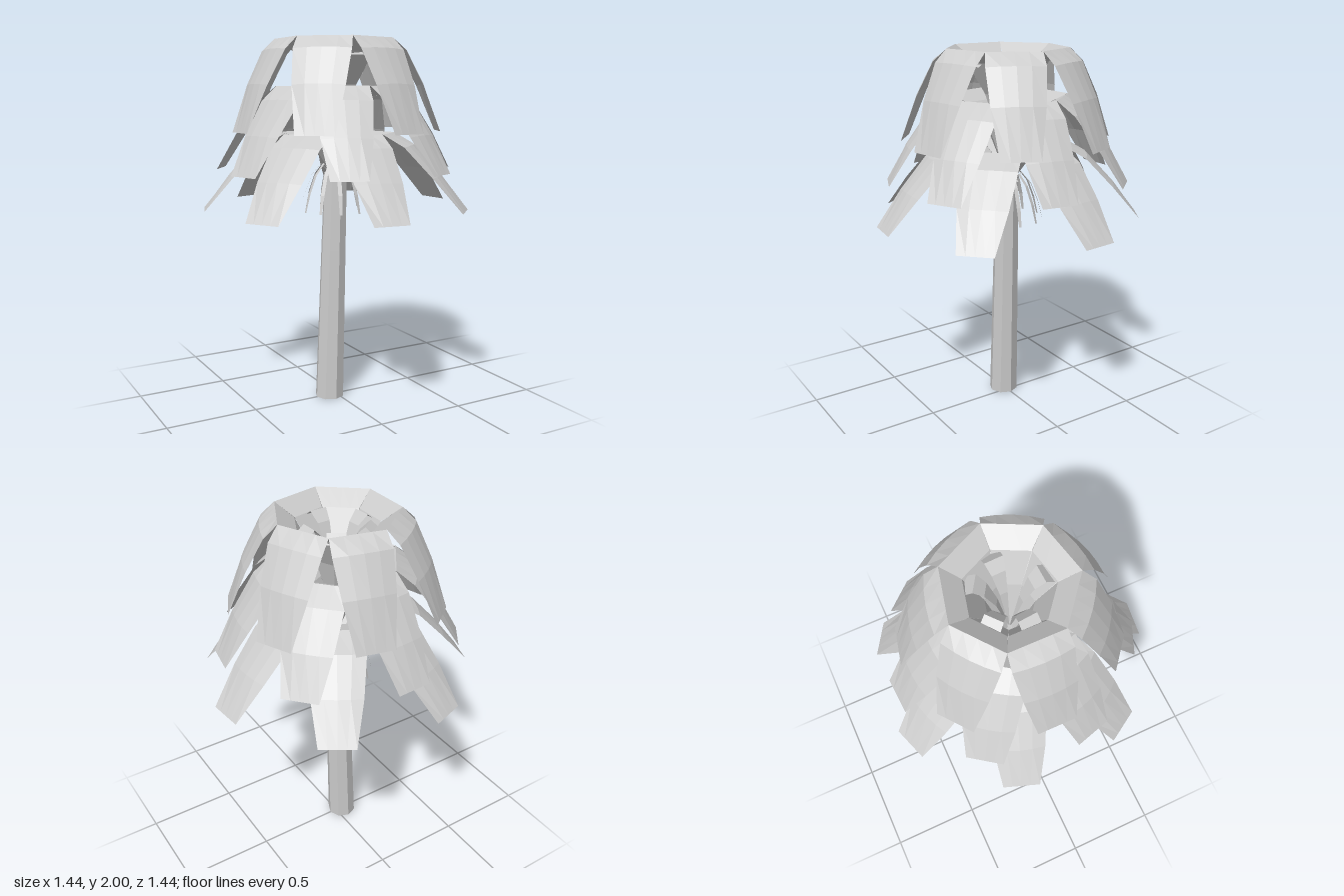
import * as THREE from 'three';

// Ribbon leaf built from rows of [radius, height, width, bow], pointing along +x
function leafGeometry(rows, columns = 4) {
  const pos = [], index = [];
  rows.forEach(([r, y, w, bow = 0]) => {
    for (let c = 0; c <= columns; c++) {
      const t = (c / columns) * 2 - 1;
      pos.push(r - bow * t * t, y - bow * 0.4 * t * t, t * w / 2);
    }
  });
  const n = columns + 1;
  for (let i = 0; i < rows.length - 1; i++) {
    for (let c = 0; c < columns; c++) {
      const a = i * n + c, b = a + 1, d = a + n, e = d + 1;
      index.push(a, b, d, b, e, d);
    }
  }
  const g = new THREE.BufferGeometry();
  g.setAttribute('position', new THREE.Float32BufferAttribute(pos, 3));
  g.setIndex(index);
  g.computeVertexNormals();
  return g;
}

export function createModel() {
  const model = new THREE.Group();
  model.name = 'palmTree';
  const grey = new THREE.MeshStandardMaterial({
    color: 0xcccccc, flatShading: true, side: THREE.DoubleSide,
  });
  grey.name = 'palmGrey';

  // Places one leaf at each angle, in degrees from +x towards +z
  function ring(name, rows, angles, columns) {
    const group = new THREE.Group();
    group.name = name + 's';
    const geometry = leafGeometry(rows, columns);
    for (const a of angles) {
      const leaf = new THREE.Mesh(geometry, grey);
      leaf.name = name;
      leaf.rotation.y = -THREE.MathUtils.degToRad(a);
      group.add(leaf);
    }
    model.add(group);
  }
  const seven = (start) => Array.from({ length: 7 }, (_, i) => start + i * 360 / 7);

  // Leaning eight-sided trunk
  const trunkGeometry = new THREE.CylinderGeometry(0.065, 0.081, 1.28, 8, 3);
  trunkGeometry.translate(0, 0.64, 0);
  const p = trunkGeometry.attributes.position;
  for (let i = 0; i < p.count; i++) {
    const lean = 1 - p.getY(i) / 1.28;
    p.setX(i, p.getX(i) - 0.04 * lean);
  }
  const trunk = new THREE.Mesh(trunkGeometry, grey);
  trunk.name = 'trunk';
  model.add(trunk);

  // Three tiers of drooping fronds
  ring('lowerFrond', [
    [0.02, 1.27, 0.02], [0.12, 1.42, 0.115], [0.2, 1.475, 0.19], [0.3, 1.5, 0.285],
    [0.43, 1.44, 0.29, 0.015], [0.58, 1.28, 0.26, 0.015], [0.72, 1.09, 0.19],
  ], seven(45.5));
  ring('middleFrond', [
    [0.02, 1.35, 0.02], [0.11, 1.6, 0.105], [0.2, 1.7, 0.19], [0.3, 1.75, 0.285],
    [0.41, 1.68, 0.295, 0.015], [0.54, 1.5, 0.26, 0.015], [0.645, 1.3, 0.19],
  ], seven(10));
  ring('upperFrond', [
    [0.02, 1.45, 0.02], [0.11, 1.76, 0.105], [0.2, 1.93, 0.19], [0.295, 2, 0.285],
    [0.38, 1.94, 0.3, 0.015], [0.475, 1.76, 0.27, 0.015], [0.56, 1.51, 0.2],
  ], seven(26.5));

  // Young leaves rising inside the crown
  ring('youngLeaf', [
    [0.01, 1.55, 0.01], [0.06, 1.78, 0.04], [0.11, 1.9, 0.07], [0.16, 1.95, 0.095], [0.21, 1.91, 0.1],
  ], [-2, 88, 175, 230, 303], 2);

  // Thin dry strands hanging below the crown
  ring('hangingStrand', [
    [0.03, 1.28, 0.012], [0.08, 1.33, 0.018], [0.13, 1.27, 0.022], [0.17, 1.17, 0.022], [0.195, 1.07, 0.014],
  ], Array.from({ length: 11 }, (_, i) => 12 + i * 360 / 11), 2);

  return model;
}
